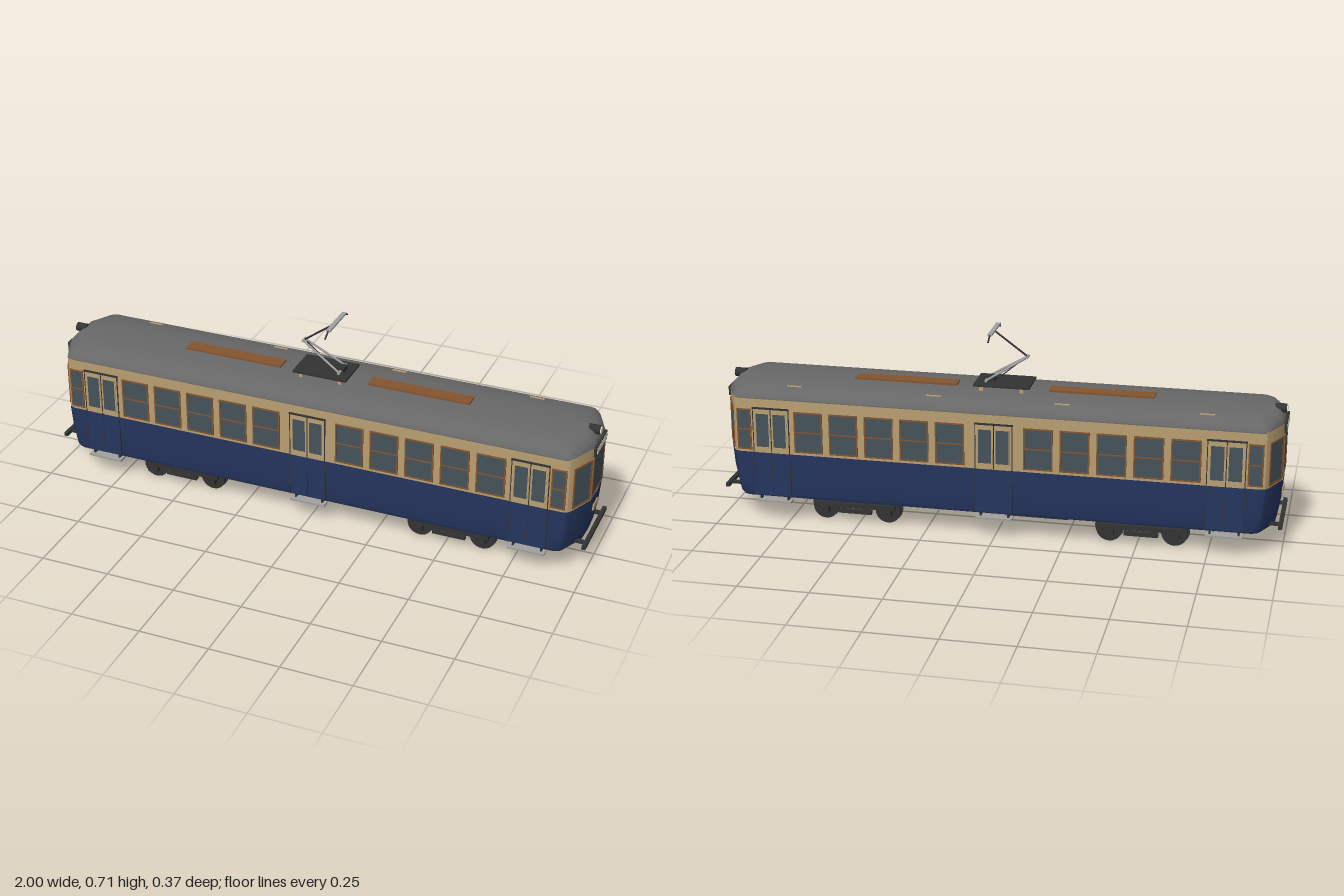
import * as THREE from 'three';
import { toCreasedNormals } from 'three/addons/utils/BufferGeometryUtils.js';

const mat = (color, side = THREE.FrontSide) => new THREE.MeshStandardMaterial({ color, side });
const M = {
  cream: mat(0xb89f72), blue: mat(0x25355f), roof: mat(0x686868), wood: mat(0x85552f),
  glass: mat(0x45525a), dark: mat(0x333333), metal: mat(0xa0a0a0), lamp: mat(0xe8e4d0),
};

function add(parent, name, geometry, material, x = 0, y = 0, z = 0) {
  const mesh = new THREE.Mesh(geometry, material);
  mesh.name = name;
  mesh.position.set(x, y, z);
  parent.add(mesh);
  return mesh;
}

function group(parent, name, x = 0, y = 0, z = 0, ry = 0) {
  const g = new THREE.Group();
  g.name = name;
  g.position.set(x, y, z);
  g.rotation.y = ry;
  parent.add(g);
  return g;
}

const box = (parent, name, w, h, d, material, x, y, z) =>
  add(parent, name, new THREE.BoxGeometry(w, h, d), material, x, y, z);

// Round bar between two points
function rod(parent, name, p, q, r, material) {
  const a = new THREE.Vector3(...p), b = new THREE.Vector3(...q);
  const mesh = add(parent, name, new THREE.CylinderGeometry(r, r, a.distanceTo(b), 8), material);
  mesh.position.copy(a).add(b).multiplyScalar(0.5);
  mesh.quaternion.setFromUnitVectors(new THREE.Vector3(0, 1, 0), b.sub(a).normalize());
  return mesh;
}

// Cylinder lying along x or z
function disc(parent, name, r, length, axis, material, x, y, z, sides = 24) {
  const mesh = add(parent, name, new THREE.CylinderGeometry(r, r, length, sides), material, x, y, z);
  if (axis === 'x') mesh.rotation.z = Math.PI / 2;
  else mesh.rotation.x = Math.PI / 2;
  return mesh;
}

// Plan outline of the body, going round from +x through +z
const quarter = [[0.99, 0], [0.987, 0.072], [0.947, 0.16], [0.937, 0.172], [0.918, 0.178]];
const outline = [
  ...quarter,
  ...quarter.slice(1).reverse().map(([x, z]) => [-x, z]),
  ...quarter.map(([x, z]) => [-x, -z]),
  ...quarter.slice(1).reverse().map(([x, z]) => [x, -z]),
];

// Skin over stacked outlines, each given as [y, x scale, z scale]
function shell(levels) {
  const n = outline.length, pos = [], index = [];
  levels.forEach(([y, sx, sz]) => outline.forEach(([x, z]) => pos.push(x * sx, y, z * sz)));
  for (let i = 0; i < levels.length - 1; i++) {
    for (let j = 0; j < n; j++) {
      const a = i * n + j, b = i * n + (j + 1) % n;
      index.push(a, a + n, b, b, a + n, b + n);
    }
  }
  const g = new THREE.BufferGeometry();
  g.setAttribute('position', new THREE.Float32BufferAttribute(pos, 3));
  g.setIndex(index);
  return toCreasedNormals(g, 0.5);
}

// Framed window facing local +z, with optional middle rail
function windowUnit(parent, name, w, h, t, frameMat, x, y, z, ry = 0, rail = false) {
  const g = group(parent, name, x, y, z, ry);
  const rect = (Cls, a, b) => new Cls([[-a, -b], [a, -b], [a, b], [-a, b]].map(p => new THREE.Vector2(...p)));
  const shape = rect(THREE.Shape, w / 2, h / 2);
  shape.holes.push(rect(THREE.Path, w / 2 - t, h / 2 - t));
  add(g, 'windowFrame', new THREE.ExtrudeGeometry(shape, { depth: 0.005, bevelEnabled: false }), frameMat, 0, 0, -0.002);
  box(g, 'windowGlass', w - t, h - t, 0.003, M.glass, 0, 0, 0);
  if (rail) box(g, 'windowRail', w - t, 0.005, 0.004, frameMat, 0, 0, 0.001);
}

// Double-leaf door with its step
function door(parent, x) {
  const g = group(parent, 'door', x, 0, 0.178);
  box(g, 'doorLowerPanel', 0.128, 0.16, 0.004, M.blue, 0, 0.178, 0);
  box(g, 'doorUpperPanel', 0.128, 0.162, 0.004, M.cream, 0, 0.339, 0);
  for (const s of [-1, 1]) {
    windowUnit(g, 'doorWindow', 0.054, 0.132, 0.004, M.cream, s * 0.031, 0.342, 0.001);
    box(g, 'doorPost', 0.003, 0.325, 0.006, M.dark, s * 0.0655, 0.259, 0);
  }
  box(g, 'doorGap', 0.003, 0.322, 0.006, M.dark, 0, 0.259, 0);
  box(g, 'doorTrack', 0.136, 0.006, 0.008, M.dark, 0, 0.424, 0);
  box(g, 'doorStep', 0.13, 0.007, 0.034, M.metal, 0, 0.0745, -0.011);
  for (const s of [-1, 1]) box(g, 'stepBracket', 0.006, 0.022, 0.02, M.dark, s * 0.05, 0.086, -0.018);
}

function side(parent, ry) {
  const g = group(parent, 'sideWall', 0, 0, 0, ry);
  [-0.805, 0, 0.805].forEach(x => door(g, x));
  for (const s of [-1, 1]) {
    for (let i = 0; i < 5; i++)
      windowUnit(g, 'sideWindow', 0.104, 0.152, 0.005, M.wood, s * (0.156 + i * 0.128), 0.343, 0.178, 0, true);
    windowUnit(g, 'narrowWindow', 0.052, 0.152, 0.005, M.wood, s * 0.904, 0.343, 0.178, 0, true);
  }
}

function end(parent, ry) {
  const g = group(parent, 'cabEnd', 0, 0, 0, ry);
  windowUnit(g, 'windscreen', 0.138, 0.156, 0.006, M.wood, 0.989, 0.342, 0, Math.PI / 2);
  const tilt = Math.atan2(0.04, 0.088);
  for (const s of [-1, 1])
    windowUnit(g, 'cornerWindow', 0.09, 0.156, 0.006, M.wood, 0.967, 0.342, s * 0.1165, Math.PI / 2 - s * tilt);
  box(g, 'destinationBox', 0.016, 0.034, 0.136, M.dark, 0.988, 0.443, 0);
  box(g, 'destinationPanel', 0.004, 0.023, 0.122, M.lamp, 0.995, 0.443, 0);
  disc(g, 'headlightShell', 0.016, 0.04, 'x', M.dark, 0.969, 0.494, 0);
  disc(g, 'headlightLens', 0.0135, 0.004, 'x', M.lamp, 0.99, 0.494, 0);
  box(g, 'endPlate', 0.008, 0.023, 0.052, M.cream, 0.988, 0.202, 0);
  box(g, 'bumper', 0.014, 0.013, 0.274, M.dark, 0.993, 0.106, 0);
  for (const s of [-1, 1]) box(g, 'bumperBracket', 0.05, 0.01, 0.014, M.dark, 0.965, 0.106, s * 0.1);
}

function bogie(parent, x) {
  const g = group(parent, 'bogie', x);
  box(g, 'bolster', 0.09, 0.03, 0.24, M.dark, 0, 0.078, 0);
  for (const s of [-1, 1]) {
    box(g, 'sideFrame', 0.29, 0.016, 0.02, M.dark, 0, 0.065, s * 0.135);
    box(g, 'springBeam', 0.12, 0.014, 0.016, M.dark, 0, 0.042, s * 0.135);
    for (const k of [-1, 1]) {
      box(g, 'springHanger', 0.012, 0.04, 0.014, M.dark, k * 0.04, 0.058, s * 0.135);
      box(g, 'axleBox', 0.036, 0.042, 0.022, M.dark, k * 0.115, 0.053, s * 0.135);
      disc(g, 'wheel', 0.046, 0.016, 'z', M.dark, k * 0.115, 0.046, s * 0.108);
      disc(g, 'wheelFlange', 0.052, 0.005, 'z', M.dark, k * 0.115, 0.052, s * 0.1);
    }
  }
  for (const k of [-1, 1]) disc(g, 'axle', 0.01, 0.25, 'z', M.metal, k * 0.115, 0.055, 0, 12);
}

function pantograph(parent) {
  const g = group(parent, 'pantograph');
  box(g, 'pantographBase', 0.2, 0.007, 0.134, M.dark, -0.003, 0.523, 0);
  for (const x of [-0.075, 0.07]) for (const s of [-1, 1])
    box(g, 'baseFoot', 0.014, 0.03, 0.011, M.cream, x, 0.506, s * 0.053);
  box(g, 'armHousing', 0.04, 0.016, 0.036, M.dark, 0.05, 0.535, 0);
  rod(g, 'armPivot', [0.058, 0.532, -0.037], [0.058, 0.532, 0.037], 0.005, M.metal);
  for (const s of [-1, 1])
    rod(g, 'lowerArm', [0.058, 0.532, s * 0.03], [-0.085, 0.62, s * 0.008], 0.004, M.metal);
  rod(g, 'controlRod', [0.025, 0.53, 0], [-0.075, 0.615, 0], 0.002, M.dark);
  rod(g, 'elbow', [-0.085, 0.62, -0.013], [-0.085, 0.62, 0.013], 0.005, M.metal);
  rod(g, 'upperArm', [-0.085, 0.62, 0], [0.035, 0.708, 0], 0.0035, M.dark);
  box(g, 'contactBar', 0.016, 0.006, 0.15, M.metal, 0.035, 0.712, 0);
  for (const s of [-1, 1])
    rod(g, 'contactHorn', [0.035, 0.711, s * 0.074], [0.035, 0.694, s * 0.102], 0.003, M.dark);
}

export function createModel() {
  const tram = new THREE.Group();
  tram.name = 'tram';

  // Body shell
  add(tram, 'lowerBody', shell([[0.09, 0.95, 0], [0.09, 0.975, 0.95], [0.1, 0.983, 0.97], [0.17, 0.995, 0.995], [0.258, 1.002, 1.005]]), M.blue);
  add(tram, 'upperBody', shell([[0.256, 1, 1], [0.462, 1, 0.995]]), M.cream);
  add(tram, 'roof', shell([[0.458, 0.9, 0], [0.458, 0.998, 1.002], [0.462, 0.998, 1], [0.478, 0.99, 0.94],
    [0.494, 0.975, 0.74], [0.502, 0.96, 0.4], [0.505, 0.95, 0]]), M.roof);

  for (const ry of [0, Math.PI]) {
    side(tram, ry);
    end(tram, ry);
  }

  // Roof fittings
  for (const s of [-1, 1]) box(tram, 'roofBoard', 0.37, 0.014, 0.052, M.wood, s * 0.35, 0.504, 0);
  for (const x of [-0.73, -0.23, 0.225, 0.73]) box(tram, 'roofVent', 0.052, 0.006, 0.008, M.cream, x, 0.494, -0.125);
  pantograph(tram);

  // Underframe and running gear
  box(tram, 'underframe', 0.65, 0.016, 0.27, M.dark, 0, 0.084, 0);
  box(tram, 'equipmentBox', 0.21, 0.035, 0.136, M.dark, -0.14, 0.062, 0);
  box(tram, 'compressorBox', 0.15, 0.03, 0.1, mat(0x555555), 0.178, 0.065, 0);
  for (const x of [-0.515, 0.515]) bogie(tram, x);
  return tram;
}
